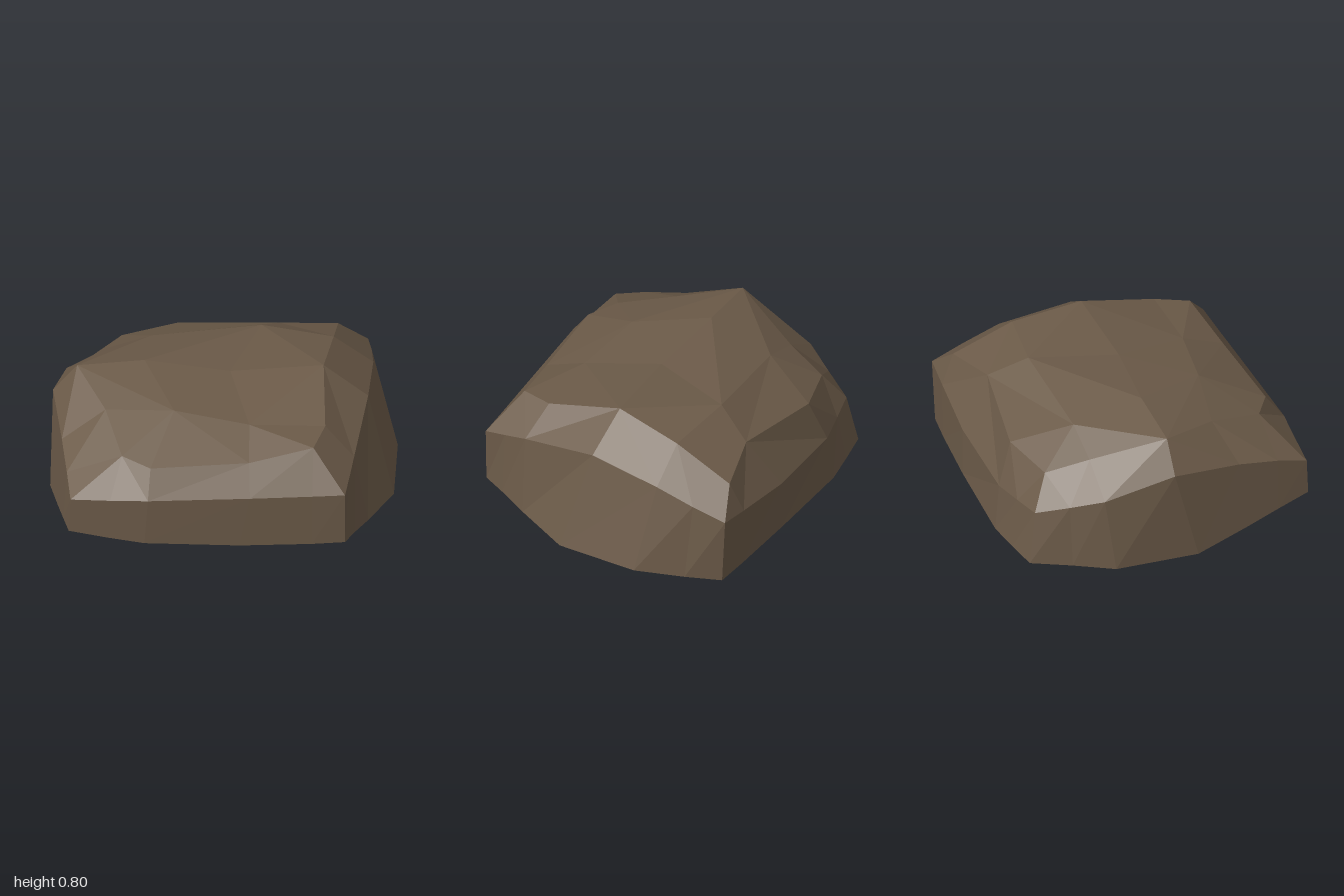
import * as THREE from 'three';

// Upper surface: rows run front to back, each from -x to +x
const CROWN = [
  [[-0.85, 0.405, 0.86], [-0.62, 0.41, 0.87], [-0.4, 0.42, 0.88], [0.19, 0.425, 0.835], [0.55, 0.43, 0.805], [0.74, 0.435, 0.79]],
  [[-0.88, 0.47, 0.67], [-0.56, 0.59, 0.67], [-0.39, 0.575, 0.77], [0.18, 0.59, 0.71], [0.55, 0.66, 0.64], [0.76, 0.47, 0.65]],
  [[-0.92, 0.53, 0.42], [-0.67, 0.69, 0.34], [-0.27, 0.735, 0.4], [0.17, 0.69, 0.46], [0.61, 0.68, 0.44], [0.78, 0.51, 0.5]],
  [[-0.99, 0.59, 0], [-0.85, 0.765, 0], [-0.46, 0.8, -0.02], [0.04, 0.765, 0.02], [0.58, 0.795, -0.02], [0.84, 0.61, 0.01]],
  [[-0.93, 0.465, -0.41], [-0.69, 0.61, -0.42], [-0.44, 0.695, -0.43], [0.2, 0.755, -0.48], [0.62, 0.72, -0.43], [0.85, 0.55, -0.43]],
  [[-0.83, 0.4, -0.59], [-0.62, 0.53, -0.67], [-0.3, 0.56, -0.77], [0.29, 0.625, -0.7], [0.63, 0.57, -0.79], [0.83, 0.48, -0.66]],
  [[-0.73, 0.34, -0.77], [-0.55, 0.325, -0.815], [-0.36, 0.31, -0.86], [0.2, 0.34, -0.885], [0.6, 0.39, -0.868], [0.8, 0.42, -0.86]],
];

// Foot of the side walls, one point below each rim point of the crown
const FOOT = [
  // front edge, then the +x side
  [-0.86, 0.19, 0.865], [-0.63, 0.155, 0.875], [-0.42, 0.13, 0.885], [0.13, 0.1, 0.84], [0.55, 0.1, 0.805],
  [0.74, 0.105, 0.785], [0.79, 0.085, 0.65], [0.86, 0.05, 0.47], [0.995, 0.015, 0.14], [0.995, 0.02, -0.36], [0.89, 0.012, -0.64],
  // back edge, then the -x side
  [0.8, 0.005, -0.84], [0.6, 0.015, -0.86], [0.2, 0.03, -0.885], [-0.38, 0.025, -0.89], [-0.58, 0.025, -0.856],
  [-0.78, 0.03, -0.82], [-0.88, 0.025, -0.59], [-0.985, 0.015, -0.36], [-1, 0.015, 0.14], [-0.94, 0.09, 0.46], [-0.9, 0.145, 0.67],
];

function facets(triangles, name, material) {
  const geometry = new THREE.BufferGeometry();
  geometry.setAttribute('position', new THREE.Float32BufferAttribute(triangles.flat(2), 3));
  geometry.computeVertexNormals();
  const mesh = new THREE.Mesh(geometry, material);
  mesh.name = name;
  return mesh;
}

export function createModel() {
  const rock = new THREE.Group();
  rock.name = 'rock';
  const stone = new THREE.MeshStandardMaterial({ color: 0x6b5a48 });
  stone.name = 'brown stone';

  // Crown: split each quad along its higher diagonal so the facets bulge
  const crown = [];
  for (let r = 0; r < CROWN.length - 1; r++) {
    for (let c = 0; c < CROWN[r].length - 1; c++) {
      const a = CROWN[r][c], b = CROWN[r][c + 1];
      const d = CROWN[r + 1][c + 1], e = CROWN[r + 1][c];
      if (a[1] + d[1] >= b[1] + e[1]) crown.push([a, b, d], [a, d, e]);
      else crown.push([a, b, e], [b, d, e]);
    }
  }
  rock.add(facets(crown, 'crown', stone));

  // Rim of the crown, anticlockwise from the front -x corner
  const last = CROWN.length - 1;
  const middle = CROWN.slice(1, last);
  const rim = [
    ...CROWN[0],
    ...middle.map((row) => row[row.length - 1]),
    ...[...CROWN[last]].reverse(),
    ...middle.map((row) => row[0]).reverse(),
  ];

  // Side walls and underside
  const walls = [], underside = [];
  const centre = [0, 0.01, 0.12];
  rim.forEach((p, i) => {
    const j = (i + 1) % rim.length;
    walls.push([FOOT[i], FOOT[j], rim[j]], [FOOT[i], rim[j], p]);
    underside.push([centre, FOOT[j], FOOT[i]]);
  });
  rock.add(facets(walls, 'sideWalls', stone));
  rock.add(facets(underside, 'underside', stone));
  return rock;
}
